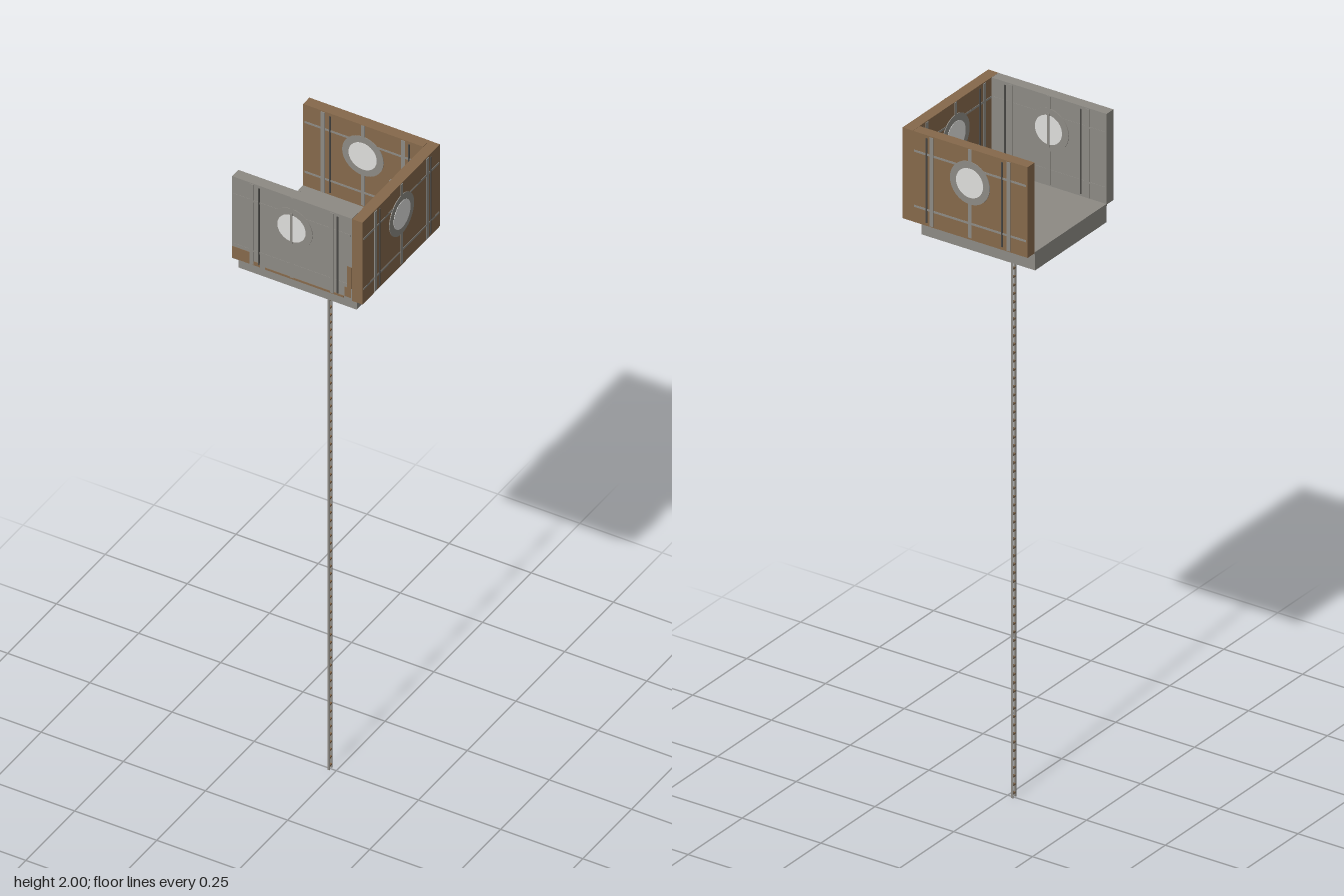
import * as THREE from 'three';

const material = (name, color) => {
  const m = new THREE.MeshStandardMaterial({ color });
  m.name = name;
  return m;
};

export function createModel() {
  const grey = material('weathered grey', 0x8d8a84);
  const brown = material('rusty brown', 0x86694b);
  const dark = material('dark iron', 0x4c4b48);
  const glass = material('pale glass', 0xdededc);

  const model = new THREE.Group();
  model.name = 'lookoutPost';

  function add(parent, name, geometry, mat, x, y, z) {
    const mesh = new THREE.Mesh(geometry, mat);
    mesh.name = name;
    mesh.position.set(x, y, z);
    parent.add(mesh);
    return mesh;
  }
  const box = (parent, name, mat, w, h, d, x, y, z) =>
    add(parent, name, new THREE.BoxGeometry(w, h, d), mat, x, y, z);

  // Floor slab with a thin top deck reaching the walls
  const cx = -0.018;
  box(model, 'floorSlab', grey, 0.36, 0.05, 0.33, -0.02, 1.705, 0);
  box(model, 'floorDeck', grey, 0.366, 0.006, 0.334, -0.017, 1.731, 0);

  // Wall panel with bands, rods and a porthole on both faces
  const thick = 0.032, height = 0.268, midY = 1.866, holeY = 1.9;
  function wall(name, mat, length, bandU, throughBar) {
    const g = new THREE.Group();
    g.name = name;
    model.add(g);
    box(g, 'panel', mat, length, height, thick, 0, midY, 0);
    for (const s of [-1, 1]) {
      const face = s * thick / 2;
      for (const u of [-bandU, bandU])
        box(g, 'verticalBand', grey, 0.012, height - 0.006, 0.004, u, midY, face);
      for (const u of [-bandU + 0.021, bandU + 0.017])
        add(g, 'rod', new THREE.CylinderGeometry(0.0028, 0.0028, 0.25, 8), dark, u, midY, face);
      for (const y of [1.78, 1.943])
        box(g, 'horizontalBand', grey, length - 0.01, 0.006, 0.002, 0, y, face);

      // Centre strip above and below the porthole
      box(g, 'upperStrip', grey, 0.01, 0.04, 0.004, 0, 1.979, face);
      box(g, 'lowerStrip', grey, 0.01, 0.1, 0.004, 0, 1.788, face);
      if (throughBar) box(g, 'windowBar', grey, 0.007, 0.1, 0.003, 0, holeY, s * (thick / 2 + 0.003));

      const ring = new THREE.CylinderGeometry(0.063, 0.063, 0.004, 32).rotateX(Math.PI / 2);
      add(g, 'portholeRing', ring, grey, 0, holeY, face);
      const pane = new THREE.CylinderGeometry(0.043, 0.043, 0.004, 32).rotateX(Math.PI / 2);
      add(g, 'portholeGlass', pane, glass, 0, holeY, face + s * 0.001);
    }
    return g;
  }

  const front = wall('frontWall', grey, 0.365, 0.122, true);
  front.position.set(cx, 0, 0.181);
  const back = wall('backWall', brown, 0.365, 0.122, false);
  back.position.set(cx, 0, -0.184);
  const side = wall('leftWall', brown, 0.397, 0.133, false);
  side.rotation.y = Math.PI / 2;
  side.position.set(0.181, 0, -0.001);

  // Rust patches on the grey front wall: [width, height, x, y]
  const patches = [
    [0.055, 0.038, -0.172, 1.753], [0.03, 0.012, -0.13, 1.74], [0.24, 0.006, 0.02, 1.736],
    [0.014, 0.07, 0.157, 1.805], [0.02, 0.03, 0.152, 1.755],
  ];
  for (const [w, h, x, y] of patches)
    box(model, 'rustPatch', brown, w, h, 0.002, x, y, 0.1972);

  // Long ladder hanging below the floor
  const ladder = new THREE.Group();
  ladder.name = 'ladder';
  model.add(ladder);
  for (const s of [-1, 1])
    box(ladder, 'rail', grey, 0.006, 1.68, 0.0035, -0.019, 0.84, s * 0.0065);
  for (let y = 0.0125; y < 1.68; y += 0.025)
    box(ladder, 'rung', brown, 0.005, 0.005, 0.011, -0.019, y, 0);

  return model;
}
